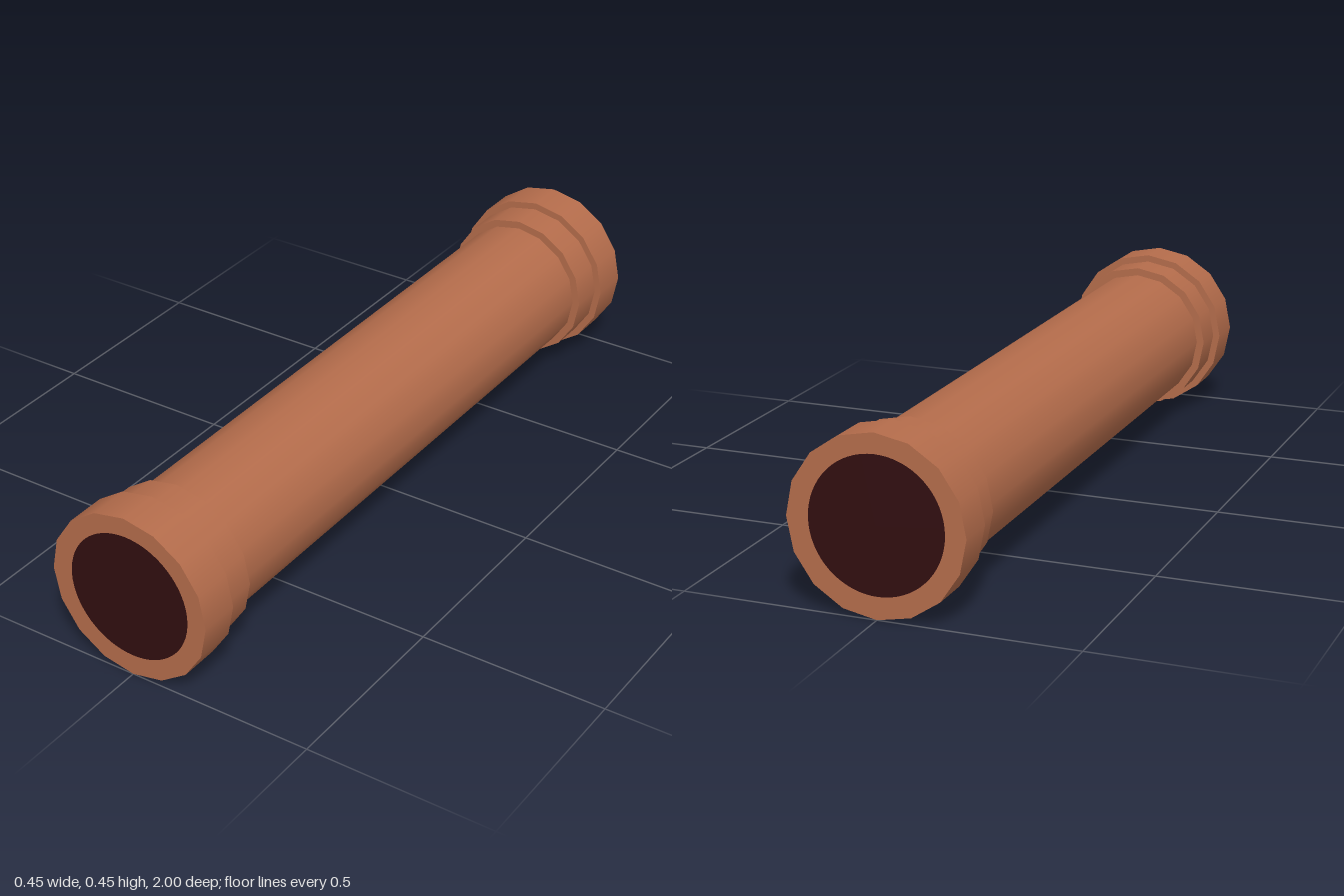
import * as THREE from 'three';

const SIDES = 16;
const RIM_R = 0.224, COLLAR_R = 0.205, TUBE_R = 0.184, BORE_R = 0.17;
const HALF = 1, RIM_Z = 0.893, COLLAR_Z = 0.8;

export function createModel() {
  const clay = new THREE.MeshStandardMaterial({ color: 0xb46c4b });
  clay.name = 'clay';
  const bore = new THREE.MeshStandardMaterial({ color: 0x310e10 });
  bore.name = 'darkBore';

  const part = (name, geometry, material, parent) => {
    const mesh = new THREE.Mesh(geometry, material);
    mesh.name = name;
    parent.add(mesh);
    return mesh;
  };

  // Open cylinder wall running along z
  const wall = (r, z0, z1) =>
    new THREE.CylinderGeometry(r, r, z1 - z0, SIDES, 1, true)
      .rotateX(Math.PI / 2)
      .translate(0, 0, (z0 + z1) / 2);

  // Flat step between two radii, facing the middle of the pipe
  const step = (inner, outer, z) =>
    new THREE.RingGeometry(inner, outer, SIDES, 1).rotateY(Math.PI).translate(0, 0, z);

  const model = new THREE.Group();
  model.name = 'pipe';
  part('tube', wall(TUBE_R, -COLLAR_Z, COLLAR_Z), clay, model);

  // Rim face: polygon with a round opening, filled by the dark bore
  const rimShape = new THREE.Shape();
  for (let i = 0; i < SIDES; i++) {
    const a = (i / SIDES) * Math.PI * 2;
    rimShape[i ? 'lineTo' : 'moveTo'](RIM_R * Math.cos(a), RIM_R * Math.sin(a));
  }
  rimShape.closePath();
  const cx = 0.002, cy = 0.003;
  rimShape.holes.push(new THREE.Path().absarc(cx, cy, BORE_R, 0, Math.PI * 2, true));
  const rimFace = new THREE.ShapeGeometry(rimShape, 32).translate(0, 0, HALF);
  const boreFace = new THREE.CircleGeometry(BORE_R, 64).translate(cx, cy, HALF);

  // Matching stepped socket at each end
  for (const [name, turn] of [['frontEnd', 0], ['backEnd', Math.PI]]) {
    const end = new THREE.Group();
    end.name = name;
    end.rotation.y = turn;
    part('collar', wall(COLLAR_R, COLLAR_Z, RIM_Z), clay, end);
    part('collarStep', step(TUBE_R, COLLAR_R, COLLAR_Z), clay, end);
    part('rim', wall(RIM_R, RIM_Z, HALF), clay, end);
    part('rimStep', step(COLLAR_R, RIM_R, RIM_Z), clay, end);
    part('rimFace', rimFace, clay, end);
    part('bore', boreFace, bore, end);
    model.add(end);
  }

  // Rest the rims on the ground
  for (const child of model.children) child.position.y = RIM_R;
  return model;
}
